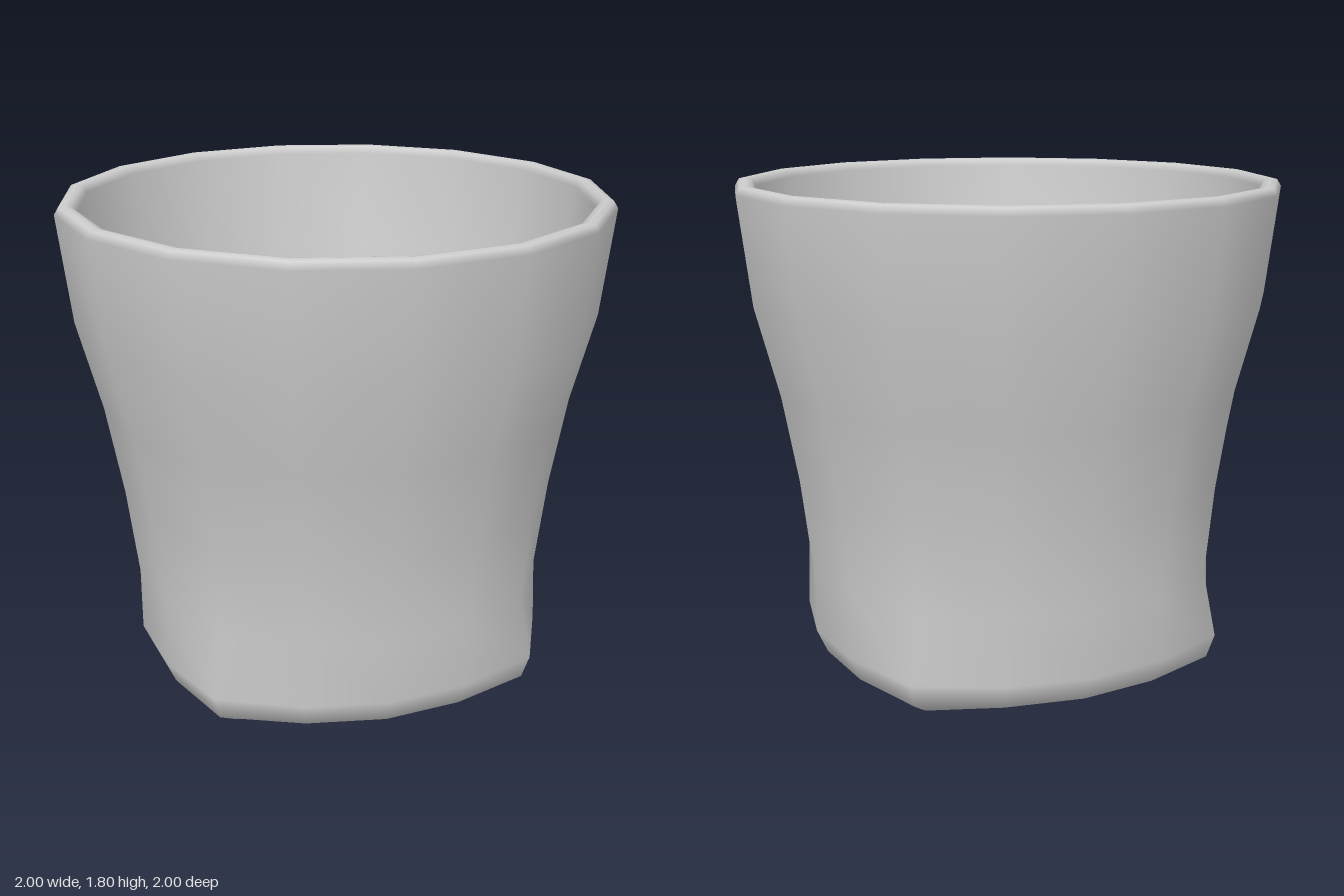
import * as THREE from 'three';
import { mergeVertices } from 'three/addons/utils/BufferGeometryUtils.js';

const SIDES = 16;

// Cup wall rings: radius, height, extra radius at the four diagonal corners
const rings = [
  // underside and outer wall
  [0, 0.005, 0], [0.64, 0.005, 0.09], [0.73, 0.05, 0.08], [0.77, 0.14, 0.07],
  [0.77, 0.38, 0.02], [0.81, 0.71, 0.01], [0.87, 1.05, 0], [0.955, 1.38, 0],
  // rounded lip
  [1, 1.77, 0], [0.985, 1.795, 0], [0.963, 1.8, 0], [0.94, 1.795, 0], [0.925, 1.77, 0],
  // inner wall and floor
  [0.885, 1.38, 0], [0.8, 1.05, 0], [0.74, 0.71, 0.01], [0.7, 0.38, 0.02],
  [0.7, 0.16, 0.06], [0.67, 0.11, 0.06], [0.6, 0.08, 0.05], [0, 0.08, 0],
];

export function createModel() {
  const clay = new THREE.MeshStandardMaterial({ color: 0xcccccc });
  clay.name = 'plain grey';

  const lathe = new THREE.LatheGeometry(rings.map(([r, y]) => new THREE.Vector2(r, y)), SIDES);

  // Push the lower rings out at the diagonals so the round cup gets a soft square foot
  const pos = lathe.attributes.position;
  for (let i = 0; i < pos.count; i++) {
    const [r, y, bulge] = rings[i % rings.length];
    const angle = ((Math.floor(i / rings.length) % SIDES) / SIDES) * Math.PI * 2;
    const corner = Math.pow(Math.abs(Math.sin(2 * angle)), 5);
    const radius = r + bulge * corner;
    const drop = y < 0.01 ? 0.005 * corner : 0;
    pos.setXYZ(i, radius * Math.sin(angle), y - drop, radius * Math.cos(angle));
  }

  // Join the seam for continuous smooth shading
  lathe.deleteAttribute('uv');
  lathe.deleteAttribute('normal');
  const geometry = mergeVertices(lathe, 1e-4);
  geometry.computeVertexNormals();

  const cup = new THREE.Mesh(geometry, clay);
  cup.name = 'cup';
  const group = new THREE.Group();
  group.name = 'squareFootedCup';
  group.add(cup);
  return group;
}
